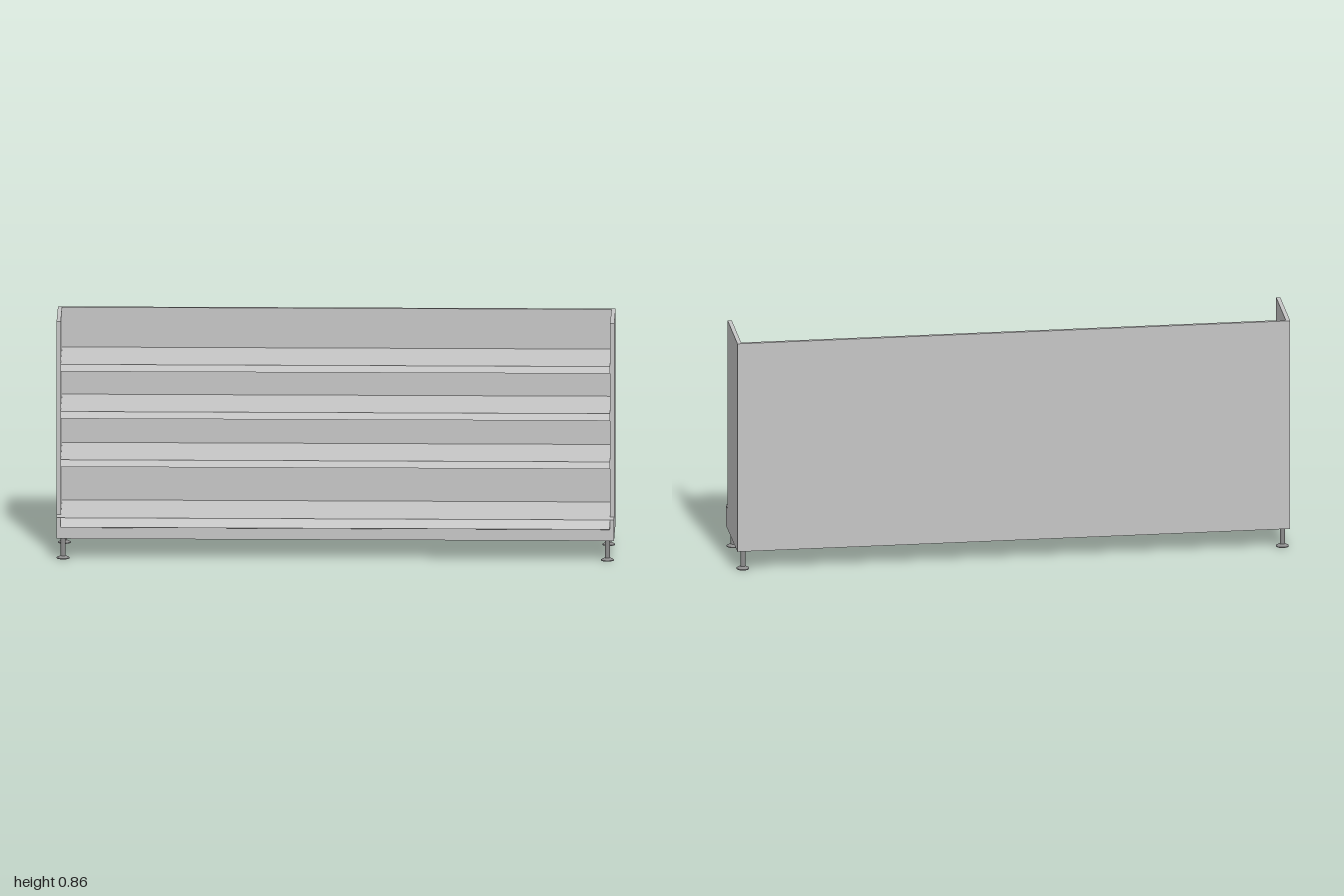
import * as THREE from 'three';

const body = new THREE.MeshStandardMaterial({ color: 0xc6c6c6 });
body.name = 'light grey panel';
const metal = new THREE.MeshStandardMaterial({ color: 0x8c8c8c });
metal.name = 'grey metal';

const WALL = 0.015;
const INNER = 1 - WALL;

// Sweeps a side profile of [z, y] points along x, from x0 to x1
function sweep(name, profile, x0, x1) {
  const shape = new THREE.Shape(profile.map(([z, y]) => new THREE.Vector2(-z, y)));
  const geometry = new THREE.ExtrudeGeometry(shape, { depth: x1 - x0, bevelEnabled: false });
  geometry.rotateY(Math.PI / 2).translate(x0, 0, 0);
  const mesh = new THREE.Mesh(geometry, body);
  mesh.name = name;
  return mesh;
}

export function createModel() {
  const group = new THREE.Group();
  group.name = 'shelfUnit';

  // Stepped end panels
  const side = [[-0.168, 0.075], [0.146, 0.075], [0.146, 0.152], [0.096, 0.152], [0.096, 0.862], [-0.168, 0.859]];
  group.add(sweep('leftPanel', side, INNER, 1), sweep('rightPanel', side, -1, -INNER));

  // Back panel and closed plinth
  group.add(sweep('backPanel', [[-0.168, 0.075], [-0.155, 0.075], [-0.155, 0.859], [-0.168, 0.859]], -INNER, INNER));
  group.add(sweep('plinth', [[-0.155, 0.075], [0.146, 0.075], [0.146, 0.152], [-0.155, 0.152]], -INNER, INNER));

  // Sloping lip on the plinth
  group.add(sweep('plinthLip', [[0.146, 0.152], [0.146, 0.146], [0.165, 0.12], [0.169, 0.122]], -INNER, INNER));

  // Shelves with a folded front lip
  [0.363, 0.54, 0.713].forEach((y, i) => {
    group.add(sweep(`shelf${i + 1}`, [
      [-0.155, y], [-0.155, y - 0.008], [0.133, y - 0.008],
      [0.144, y - 0.024], [0.151, y - 0.023], [0.137, y],
    ], -INNER, INNER));
  });

  // Adjustable feet: flared base and slim post
  const footProfile = [[0, 0], [0.023, 0], [0.023, 0.003], [0.010, 0.010], [0.009, 0.010], [0.009, 0.076]]
    .map(([r, y]) => new THREE.Vector2(r, y));
  const points = [];
  // Doubled points keep the profile edges sharp
  footProfile.forEach((p, i) => {
    points.push(p);
    if (i > 0 && i < footProfile.length - 1) points.push(p.clone().add(new THREE.Vector2(0, 0.00001)));
  });
  const footGeometry = new THREE.LatheGeometry(points, 20);
  for (const x of [-0.976, 0.976]) {
    for (const z of [-0.134, 0.128]) {
      const foot = new THREE.Mesh(footGeometry, metal);
      foot.name = `${z > 0 ? 'front' : 'back'}${x > 0 ? 'Left' : 'Right'}Foot`;
      foot.position.set(x, 0, z);
      group.add(foot);
    }
  }
  return group;
}
